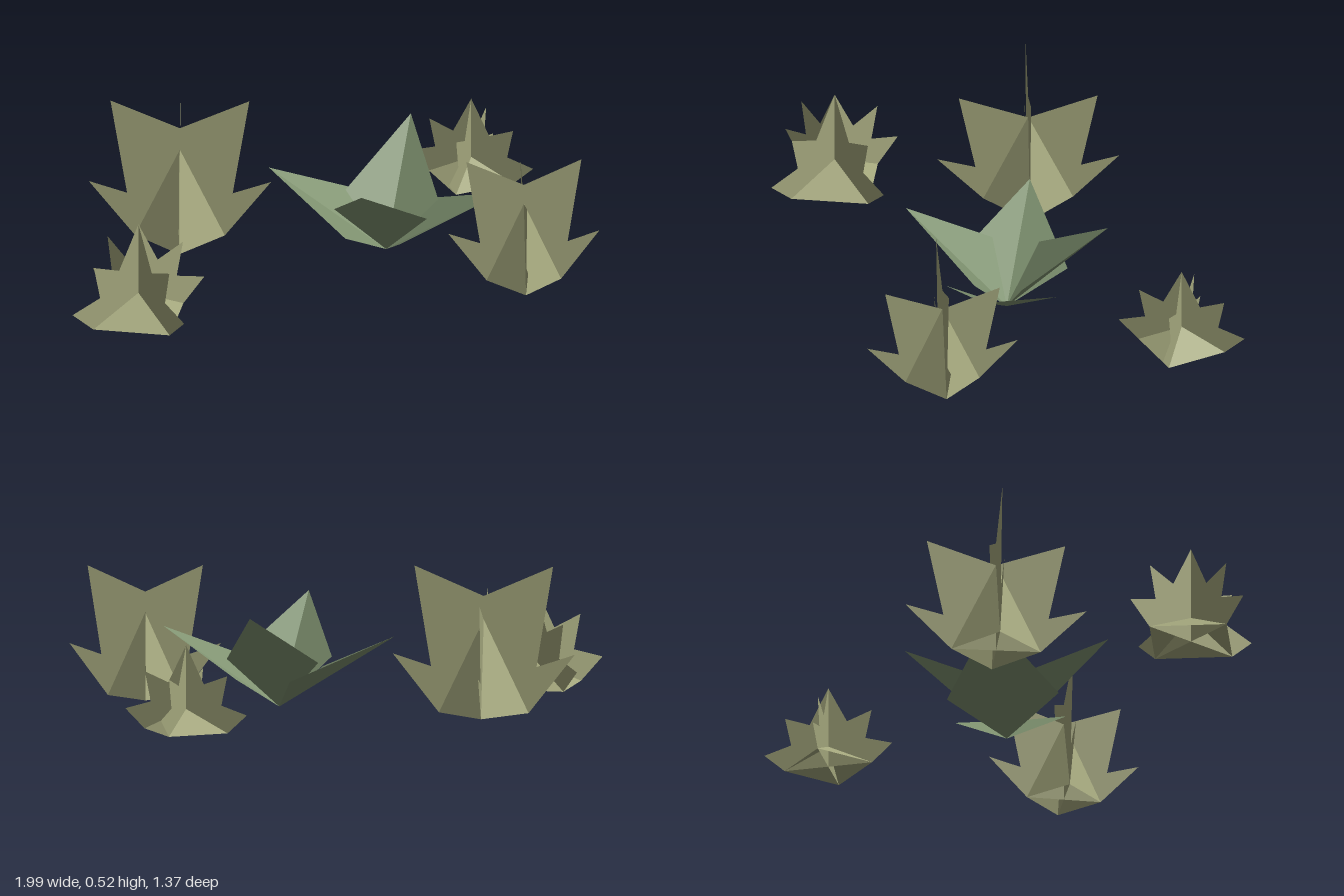
import * as THREE from 'three';

const material = (color) => new THREE.MeshStandardMaterial({ color, flatShading: true, side: THREE.DoubleSide });
const olive = material(0xa3a67c);
const green = material(0x7f9270);

// Right half of each leaf outline, from base corner up to the centre line
const FORKED = [[0.159, 0], [0.323, 0.21], [0.187, 0.165], [0.246, 0.525], [0, 0.418]];
const POINTED = [[0.194, 0], [0.284, 0.08], [0.165, 0.115], [0.192, 0.24], [0.083, 0.2], [0, 0.36]];

function named(name, geometry, mat) {
  const mesh = new THREE.Mesh(geometry, mat);
  mesh.name = name;
  return mesh;
}

// Flat upright leaf, mirrored about its centre line
function leafCard(half, heightScale) {
  const left = half.slice(0, -1).reverse().map(([x, y]) => [-x, y]);
  const points = [...half, ...left].map(([x, y]) => new THREE.Vector2(x, y * heightScale));
  return new THREE.ShapeGeometry(new THREE.Shape(points));
}

function triangles(corners) {
  const geometry = new THREE.BufferGeometry();
  geometry.setAttribute('position', new THREE.Float32BufferAttribute(corners.flat(), 3));
  geometry.computeVertexNormals();
  return geometry;
}

// Two crossed leaf cards with an open pyramid over their base corners
function crossedPlant({ name, outline, x, z, turn, width, height, crossHeight, apex }) {
  const plant = new THREE.Group();
  plant.name = name;
  plant.add(named('leafCard', leafCard(outline, 1), olive));
  const cross = named('crossLeafCard', leafCard(outline, crossHeight), olive);
  cross.rotation.y = Math.PI / 2;
  plant.add(cross);

  const r = outline[0][0];
  const pyramid = new THREE.ConeGeometry(r, apex, 4, 1, true).translate(0, apex / 2, 0);
  plant.add(named('basePyramid', pyramid, olive));

  plant.position.set(x, 0, z);
  plant.rotation.y = turn;
  plant.scale.set(width, height, width);
  return plant;
}

// Cupped leaf rising from the root along +x, folded on its midrib
function cuppedLeaf(name, { reach, tipY, sideX, sideY, halfWidth }, angle) {
  const root = [0, 0, 0];
  const tip = [reach, tipY, 0];
  const near = [sideX, sideY, halfWidth];
  const far = [sideX, sideY, -halfWidth];
  const leaf = named(name, triangles([root, near, tip, root, tip, far]), green);
  leaf.rotation.y = angle;
  return leaf;
}

export function createModel() {
  const model = new THREE.Group();
  model.name = 'plantCluster';

  const forked = { outline: FORKED, crossHeight: 0.795, apex: 0.334 };
  const pointed = { outline: POINTED, crossHeight: 1, apex: 0.092 };
  model.add(
    crossedPlant({ ...forked, name: 'largeForkedPlant', x: -0.315, z: -0.395, turn: -0.42, width: 1, height: 1 }),
    crossedPlant({ ...forked, name: 'smallForkedPlant', x: 0.657, z: 0.427, turn: -0.35, width: 0.83, height: 0.885 }),
    crossedPlant({ ...pointed, name: 'largePointedPlant', x: -0.718, z: 0.17, turn: 0.2, width: 1, height: 1 }),
    crossedPlant({ ...pointed, name: 'smallPointedPlant', x: 0.825, z: -0.435, turn: -0.75, width: 0.82, height: 0.85 }),
  );

  // Central rosette: a low wide pair of leaves and a steep narrow pair
  const rosette = new THREE.Group();
  rosette.name = 'rosette';
  rosette.position.set(0.31, 0, 0);
  const low = { reach: 0.428, tipY: 0.27, sideX: 0.099, sideY: 0.12, halfWidth: 0.2 };
  const steep = { reach: 0.364, tipY: 0.365, sideX: 0.084, sideY: 0.175, halfWidth: 0.169 };
  for (const half of [0, Math.PI]) {
    rosette.add(cuppedLeaf('lowLeaf', low, half - 0.652));
    rosette.add(cuppedLeaf('steepLeaf', steep, half + 0.922));
  }
  model.add(rosette);
  return model;
}
